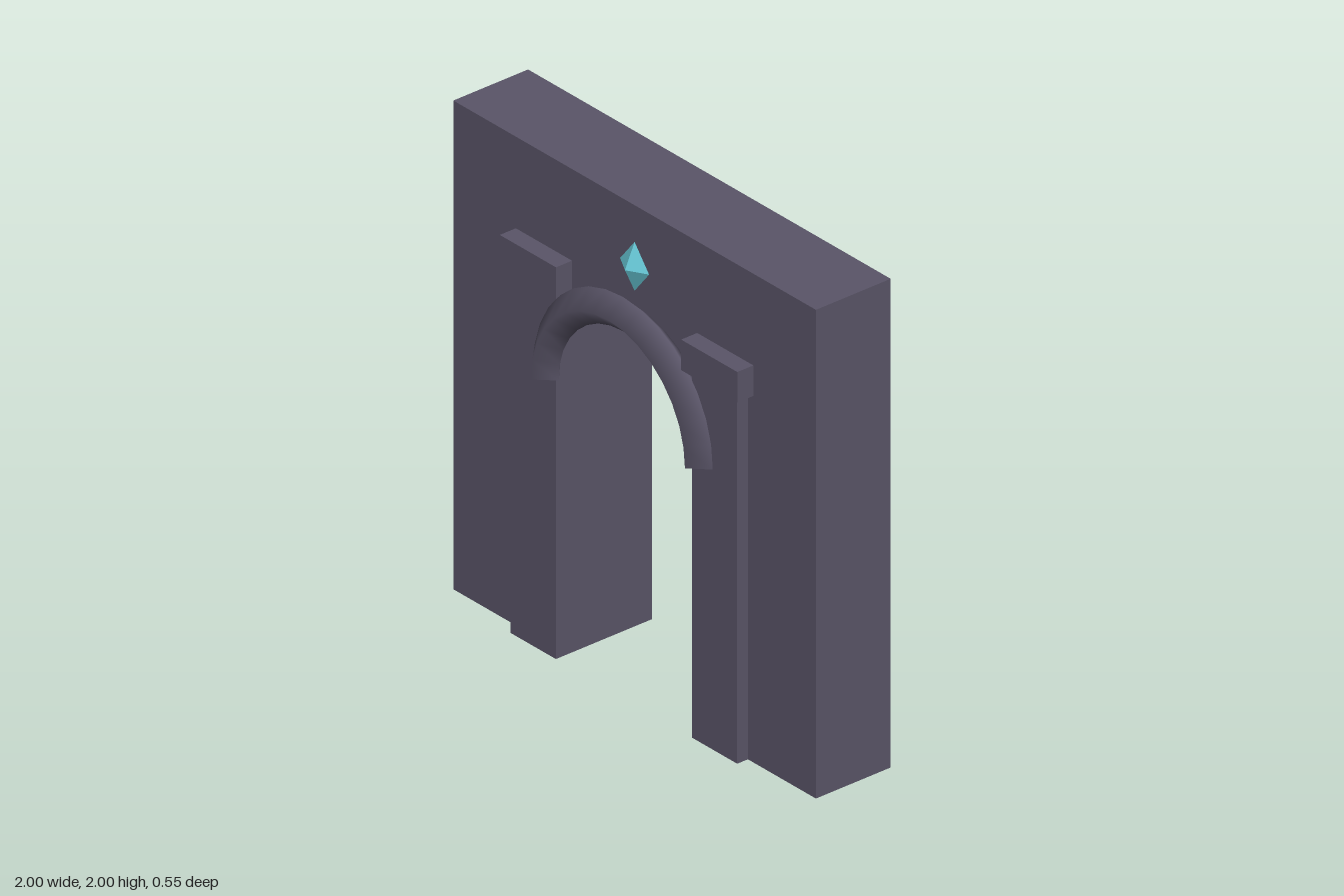
import * as THREE from 'three';

const stone = new THREE.MeshStandardMaterial({ color: 0x5a5568, side: THREE.DoubleSide });
stone.name = 'dark stone';
const crystal = new THREE.MeshStandardMaterial({ color: 0x66c6d4 });
crystal.name = 'turquoise crystal';

export function createModel() {
  const model = new THREE.Group();
  model.name = 'stoneGateway';

  const add = (name, geometry, material, x, y, z) => {
    const mesh = new THREE.Mesh(geometry, material);
    mesh.name = name;
    mesh.position.set(x, y, z);
    model.add(mesh);
    return mesh;
  };

  // Wall slab with a doorway; its jambs are hidden inside the pillars
  const outline = new THREE.Shape();
  [[-1, 0], [-0.5, 0], [-0.5, 1.5], [0.5, 1.5], [0.5, 0], [1, 0], [1, 2], [-1, 2]].forEach(([x, y], i) =>
    i ? outline.lineTo(x, y) : outline.moveTo(x, y));
  outline.closePath();
  add('wall', new THREE.ExtrudeGeometry(outline, { depth: 0.35, bevelEnabled: false }), stone, 0, 0, -0.2);

  // Pillars and capitals, showing on both faces of the wall
  for (const [side, s] of [['left', 1], ['right', -1]]) {
    add(side + 'Pillar', new THREE.BoxGeometry(0.25, 1.5, 0.45), stone, s * 0.5, 0.75, -0.025);
    add(side + 'Capital', new THREE.BoxGeometry(0.31, 0.125, 0.5), stone, s * 0.5, 1.5625, -0.025);
  }

  // Half-ring arch moulding on the front, with a diamond section
  add('archMoulding', new THREE.TorusGeometry(0.425, 0.07, 4, 16, Math.PI), stone, 0, 1.15, 0.205);

  // Faceted crystal set in the wall above the arch
  const gem = new THREE.OctahedronGeometry(1, 0);
  gem.scale(0.08, 0.1, 0.045);
  add('keystoneCrystal', gem, crystal, 0, 1.75, 0.15);

  return model;
}
